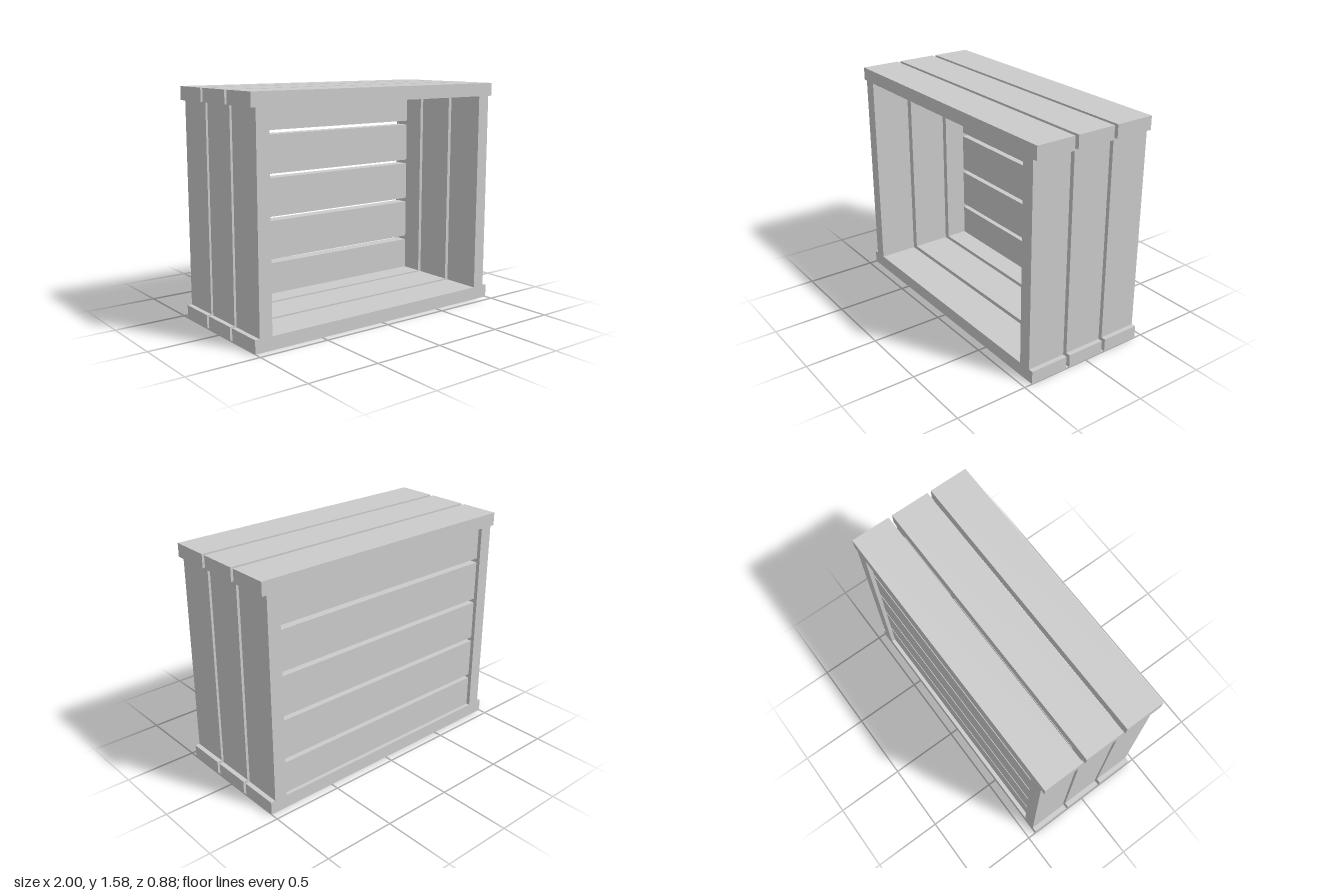
import * as THREE from 'three';

const WIDTH = 2, HEIGHT = 1.582, T = 0.091; // overall size, board thickness
const BOARD = 0.277, PITCH = 0.304;         // board width and spacing in depth
const SIDE_X = 0.922;                       // centre of each side wall

export function createModel() {
  const crate = new THREE.Group();
  crate.name = 'slattedCrate';
  const material = new THREE.MeshStandardMaterial({ color: 0xcccccc, flatShading: true });

  const board = (name, w, h, d, x, y, z) => {
    const mesh = new THREE.Mesh(new THREE.BoxGeometry(w, h, d), material);
    mesh.name = name;
    mesh.position.set(x, y, z);
    crate.add(mesh);
  };

  // Three rings of boards: long top and bottom, with uprights between them
  for (const i of [-1, 0, 1]) {
    const z = i * PITCH;
    board('bottomBoard', WIDTH, T, BOARD, 0, T / 2, z);
    board('topBoard', WIDTH, T, BOARD, 0, HEIGHT - T / 2, z);
    for (const s of [-1, 1]) {
      board(s > 0 ? 'leftBoard' : 'rightBoard', T, HEIGHT - 2 * T, BOARD, s * SIDE_X, HEIGHT / 2, z);
    }
  }

  // Five slats set just inside the back; the outer two are trimmed to fit
  const slatPitch = 0.307;
  for (let i = -2; i <= 2; i++) {
    const centre = HEIGHT / 2 + i * slatPitch;
    const low = Math.max(centre - BOARD / 2, T);
    const high = Math.min(centre + BOARD / 2, HEIGHT - T);
    board('backSlat', 2 * SIDE_X - T, high - low, T, 0, (low + high) / 2, -0.37);
  }
  return crate;
}
